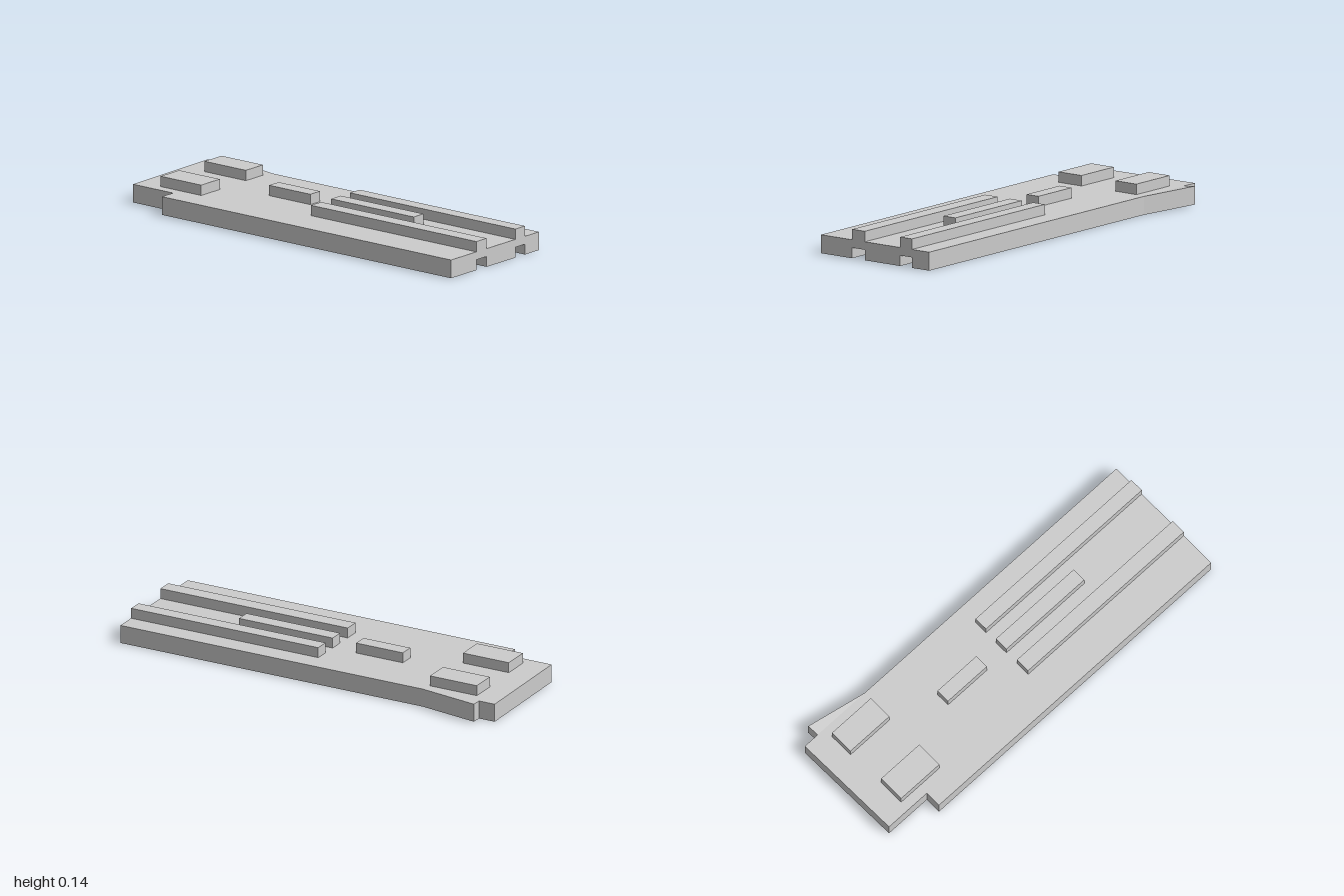
import * as THREE from 'three';

const TOP = 0.088, RECESS = 0.05, BUMP = 0.05;

// Extrude a plan outline of [x, z] points upward from y0
function slab(points, y0, height, holes = []) {
  const toV = ([x, z]) => new THREE.Vector2(x, -z);
  const shape = new THREE.Shape(points.map(toV));
  holes.forEach(h => shape.holes.push(new THREE.Path(h.map(toV))));
  const geo = new THREE.ExtrudeGeometry(shape, { depth: height, bevelEnabled: false });
  geo.rotateX(-Math.PI / 2);
  geo.translate(0, y0, 0);
  return geo;
}

const rect = ([x0, x1, z0, z1]) => [[x0, z0], [x0, z1], [x1, z1], [x1, z0]];

export function createModel() {
  const group = new THREE.Group();
  const material = new THREE.MeshStandardMaterial({ color: 0xcccccc, flatShading: true });
  const add = (name, geo) => {
    const mesh = new THREE.Mesh(geo, material);
    mesh.name = name;
    group.add(mesh);
  };

  // Raised parts as x0, x1, z0, z1
  const backRail = [0, 1, -0.19, -0.12];
  const frontRail = [0, 1, 0.09, 0.165];
  const closed = {
    backBlock: [-0.875, -0.625, -0.24, -0.115],
    frontBlock: [-0.865, -0.62, 0.082, 0.218],
    shortBlock: [-0.375, -0.125, -0.053, 0.018],
    centreRail: [0, 0.5, -0.053, 0.018],
  };

  // Plate outline with a notched front corner
  const edge = [[1, -0.292], [-1, -0.292], [-0.99, 0.268], [-0.748, 0.268], [-0.748, 0.35], [1, 0.35]];
  add('upperPlate', slab(edge, RECESS, TOP - RECESS));

  // Lower layer: recesses match the raised parts, the long slots open at the end
  const slots = [frontRail, backRail].flatMap(([x0, x1, z0, z1]) => [[x1, z1], [x0, z1], [x0, z0], [x1, z0]]);
  add('lowerPlate', slab([...edge, ...slots], 0, RECESS, Object.values(closed).map(rect)));

  // Blocks and rails on top
  for (const [name, r] of Object.entries({ ...closed, backRail, frontRail })) {
    add(name, slab(rect(r), TOP, BUMP));
  }

  // Side wedge, rising slightly outward
  const wedge = slab([[-0.922, -0.352], [-0.917, -0.292], [-0.615, -0.292]], 0, TOP);
  const p = wedge.attributes.position;
  for (let i = 0; i < p.count; i++) {
    const out = (-0.292 - p.getZ(i)) / 0.06;
    p.setY(i, p.getY(i) + out * 0.006);
  }
  wedge.computeVertexNormals();
  add('sideWedge', wedge);

  return group;
}
